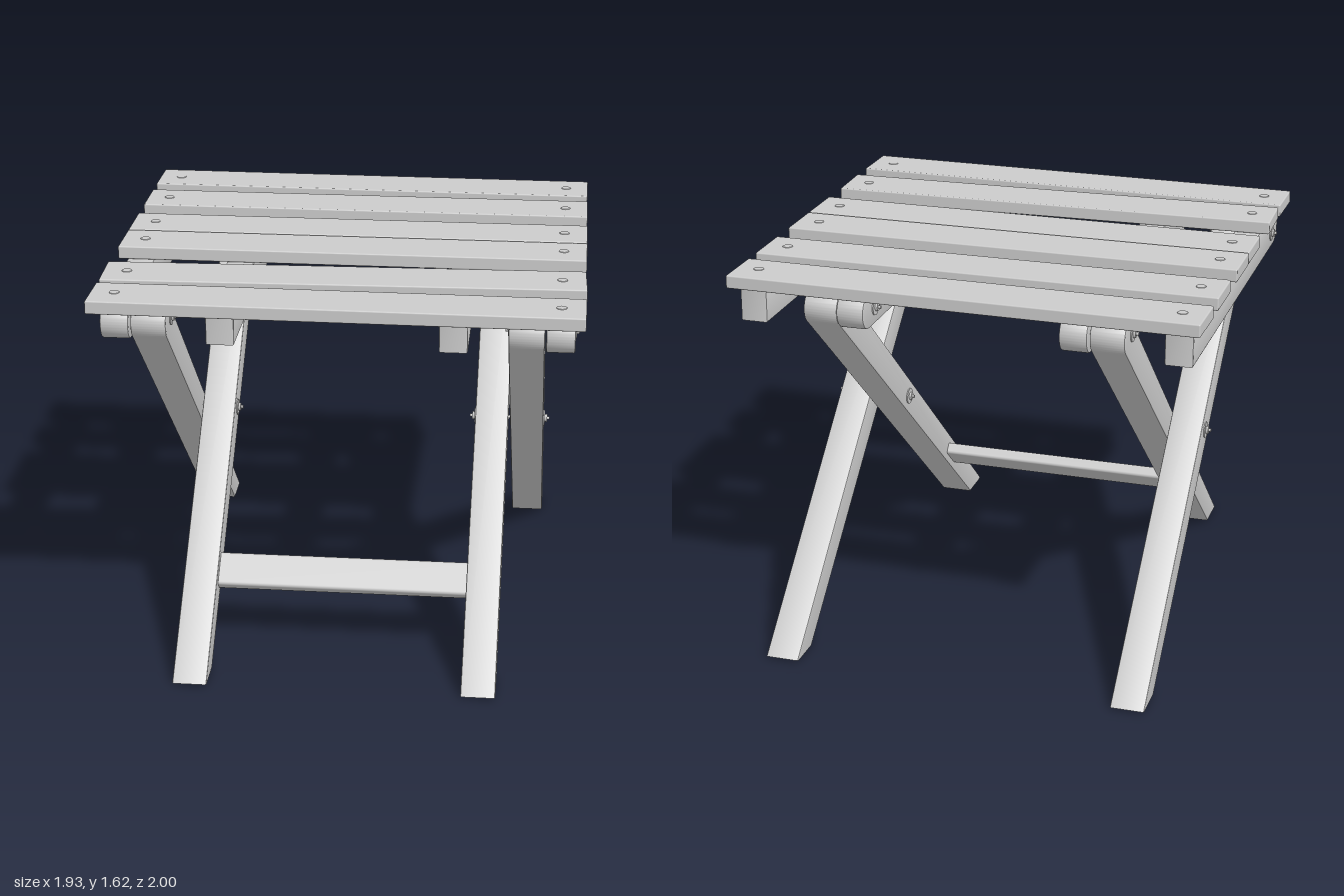
import * as THREE from 'three';
import { toCreasedNormals } from 'three/addons/utils/BufferGeometryUtils.js';
import { RoundedBoxGeometry } from 'three/addons/geometries/RoundedBoxGeometry.js';

const wood = new THREE.MeshStandardMaterial({ color: 0xcccccc });

function add(parent, name, geometry, x = 0, y = 0, z = 0) {
  const mesh = new THREE.Mesh(geometry, wood);
  mesh.name = name;
  mesh.position.set(x, y, z);
  parent.add(mesh);
  return mesh;
}

// Side profile drawn in (z, y), given a thickness along x and softened edges
function plank(shape, width) {
  const b = 0.007;
  const geo = new THREE.ExtrudeGeometry(shape, {
    depth: width - 2 * b, bevelEnabled: true, bevelThickness: b,
    bevelSize: b, bevelOffset: -b, bevelSegments: 2, curveSegments: 20,
  });
  geo.translate(0, 0, -(width - 2 * b) / 2);
  geo.rotateY(-Math.PI / 2);
  return toCreasedNormals(geo, 0.5);
}

// Leg with its foot at +z and a round top at -z
function legShape() {
  const a = THREE.MathUtils.degToRad(138.6);
  const s = new THREE.Shape();
  s.moveTo(1, 0.008);
  s.lineTo(0.985, 0);
  s.lineTo(0.845, 0);
  s.absarc(-0.748, 1.482, 0.071, a + Math.PI / 2, a - Math.PI / 2, true);
  s.closePath();
  return s;
}

// Seat rail: square at +z, rounded at -z
function railShape() {
  const s = new THREE.Shape();
  s.moveTo(0.82, 1.415);
  s.lineTo(0.82, 1.56);
  s.absarc(-0.765, 1.4875, 0.0725, Math.PI / 2, Math.PI * 1.5, false);
  s.closePath();
  return s;
}

// Pivot bolt along x, with a washer, a hexagonal head and a tip at each end
function addBolt(parent, name, x0, x1, y, z) {
  const bolt = new THREE.Group();
  bolt.name = name;
  bolt.position.set((x0 + x1) / 2, y, z);
  const len = x1 - x0;
  const disc = (r, h, n = 24) => new THREE.CylinderGeometry(r, r, h, n).rotateZ(Math.PI / 2);
  add(bolt, 'shaft', disc(0.007, len + 0.05, 12));
  for (const s of [-1, 1]) {
    add(bolt, 'washer', disc(0.034, 0.006), s * (len / 2 + 0.002));
    add(bolt, 'nut', disc(0.017, 0.014, 6), s * (len / 2 + 0.008));
  }
  parent.add(bolt);
}

export function createModel() {
  const model = new THREE.Group();
  model.name = 'foldingStool';

  // Seat slats: centre z and slight skew (dz/dx)
  const slats = [
    [-0.763, 0.008], [-0.455, 0], [-0.105, 0],
    [0.133, 0.002], [0.521, -0.027], [0.814, 0.009],
  ];
  slats.forEach(([z, skew], i) => {
    const slat = new THREE.Group();
    slat.name = `seatSlat${i + 1}`;
    slat.position.set(0, 1.587, z);
    slat.rotation.y = -Math.atan(skew);
    add(slat, 'board', new RoundedBoxGeometry(1.92, 0.054, 0.227, 2, 0.006));
    for (const s of [-1, 1]) {
      add(slat, 'screwHead', new THREE.CylinderGeometry(0.02, 0.022, 0.004, 20), s * 0.865, 0.027, 0);
    }
    model.add(slat);
  });

  // Legs, rails and bolts, mirrored left and right
  const legGeo = plank(legShape(), 0.14);
  const railGeo = plank(railShape(), 0.112);
  for (const s of [-1, 1]) {
    const side = s > 0 ? 'left' : 'right';
    add(model, `${side}InnerLeg`, legGeo, s * 0.585);
    add(model, `${side}OuterLeg`, legGeo, s * 0.735).rotation.y = Math.PI;
    add(model, `${side}InnerRail`, railGeo, s * 0.454);
    add(model, `${side}OuterRail`, railGeo, s * 0.866).rotation.y = Math.PI;

    const bolt = (name, a, b, y, z) =>
      addBolt(model, `${side}${name}`, Math.min(s * a, s * b), Math.max(s * a, s * b), y, z);
    bolt('CrossBolt', 0.515, 0.805, 0.82, 0);
    bolt('OuterRailBolt', 0.665, 0.922, 1.484, 0.7);
    bolt('InnerRailBolt', 0.398, 0.655, 1.484, -0.7);
  }

  // Stretcher between the inner legs, lying along their slope
  const stretcher = add(model, 'stretcher', new RoundedBoxGeometry(1.06, 0.052, 0.145, 3, 0.012), 0, 0.315, 0.57);
  stretcher.rotation.x = THREE.MathUtils.degToRad(41.4);

  return model;
}
